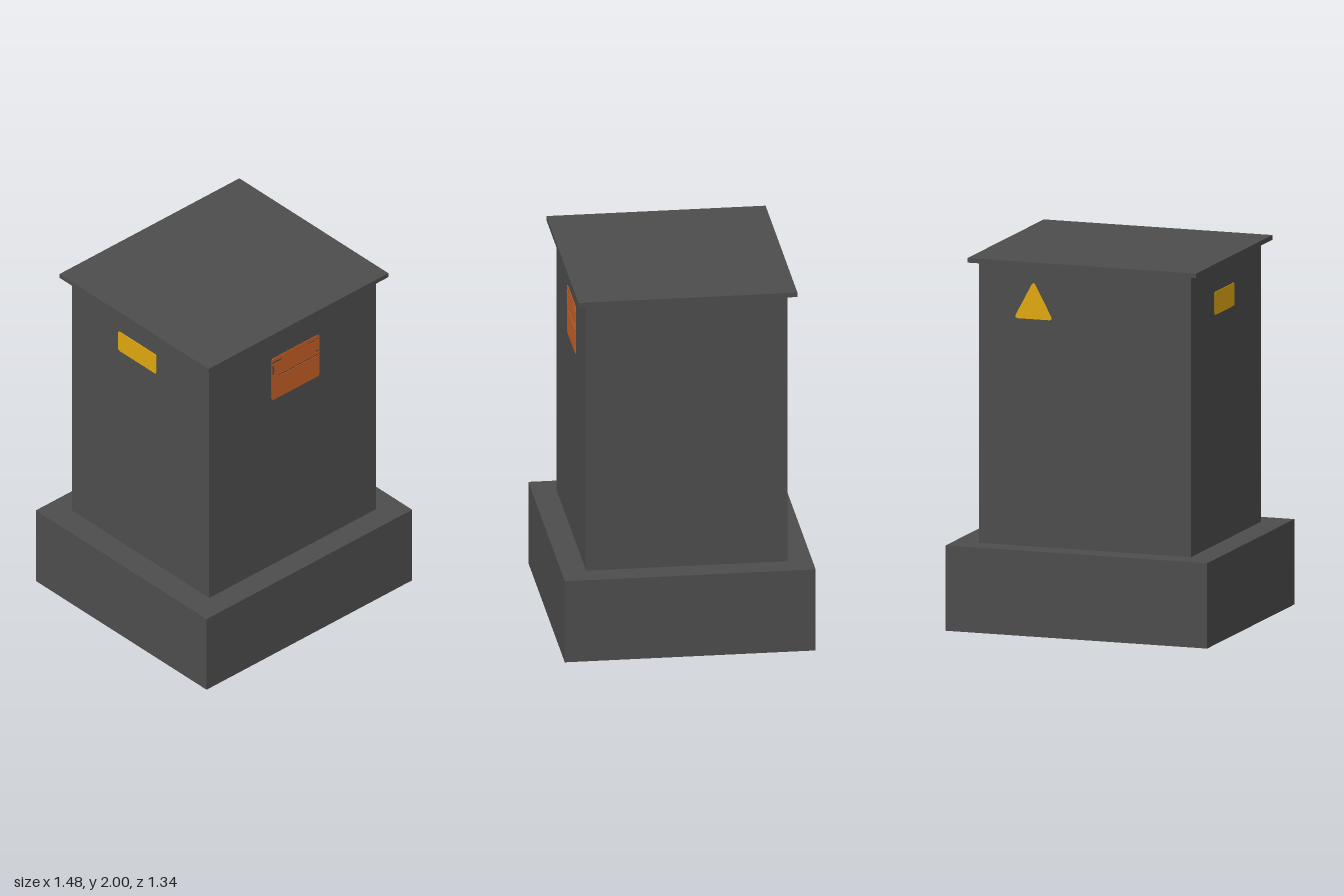
import * as THREE from 'three';

const FACES = { right: 0, left: 1, top: 2, bottom: 3, front: 4, back: 5 };

// Box with the named faces left out
function openBox(w, h, d, without) {
  const geometry = new THREE.BoxGeometry(w, h, d);
  const skip = without.map((name) => FACES[name]);
  const index = Array.from(geometry.index.array);
  geometry.setIndex(index.filter((_, i) => !skip.includes(Math.floor(i / 6))));
  geometry.clearGroups();
  return geometry;
}

// Polygon outline with softened corners
function roundedOutline(corners, radius) {
  const pts = corners.map(([x, y]) => new THREE.Vector2(x, y));
  const shape = new THREE.Shape();
  pts.forEach((p, i) => {
    const toward = (q) => p.clone().add(q.clone().sub(p).setLength(radius));
    const a = toward(pts[(i + pts.length - 1) % pts.length]);
    const b = toward(pts[(i + 1) % pts.length]);
    if (i === 0) shape.moveTo(a.x, a.y);
    else shape.lineTo(a.x, a.y);
    shape.quadraticCurveTo(p.x, p.y, b.x, b.y);
  });
  shape.closePath();
  return shape;
}

const rect = (x0, y0, x1, y1) => [[x0, y0], [x1, y0], [x1, y1], [x0, y1]];

export function createModel() {
  const casing = new THREE.MeshStandardMaterial({ color: 0x4d4d4d, side: THREE.DoubleSide });
  const orange = new THREE.MeshStandardMaterial({ color: 0xc65f26 });
  const yellow = new THREE.MeshStandardMaterial({ color: 0xe0a810 });
  casing.name = 'dark grey casing';
  orange.name = 'orange label';
  yellow.name = 'warning yellow';

  const model = new THREE.Group();
  model.name = 'cabinet';
  const add = (name, geometry, material, x = 0, y = 0, z = 0) => {
    const mesh = new THREE.Mesh(geometry, material);
    mesh.name = name;
    mesh.position.set(x, y, z);
    model.add(mesh);
    return mesh;
  };

  const baseW = 1.475, baseD = 1.34, baseH = 0.46;
  const bodyW = 1.195, bodyD = 1.075, lidY = 1.975;

  // Hollow plinth: thin walls and a ledge around the body opening
  add('plinthWalls', openBox(baseW, baseH, baseD, ['top', 'bottom']), casing, 0, baseH / 2);
  const ledge = new THREE.Shape(rect(-baseW / 2, -baseD / 2, baseW / 2, baseD / 2)
    .map(([x, y]) => new THREE.Vector2(x, y)));
  ledge.holes.push(new THREE.Path(rect(-bodyW / 2, -bodyD / 2, bodyW / 2, bodyD / 2)
    .map(([x, y]) => new THREE.Vector2(x, y))));
  add('plinthLedge', new THREE.ShapeGeometry(ledge).rotateX(-Math.PI / 2), casing, 0, baseH);

  // Hollow body and overhanging lid
  add('bodyWalls', openBox(bodyW, lidY - baseH, bodyD, ['top', 'bottom']), casing, 0, (lidY + baseH) / 2);
  add('lid', new THREE.BoxGeometry(1.29, 2 - lidY, 1.17), casing, 0, (2 + lidY) / 2);

  const plate = (shape) => new THREE.ExtrudeGeometry(shape, { depth: 0.003, bevelEnabled: false, curveSegments: 6 });

  // Orange front label with narrow cut-outs
  const label = roundedOutline(rect(-0.15, 1.53, 0.19, 1.8), 0.015);
  [
    [-0.1, 1.668, 0.185, 1.677],
    [-0.145, 1.762, -0.08, 1.776],
    [-0.145, 1.69, -0.128, 1.75],
    [0.1, 1.768, 0.185, 1.777],
    [0.165, 1.69, 0.185, 1.705],
  ].forEach((r) => label.holes.push(roundedOutline(rect(...r), 0.003)));
  add('frontLabel', plate(label), orange, 0, 0, bodyD / 2);

  // Yellow triangle on the back wall
  const triangle = roundedOutline([[-0.4, 1.685], [-0.18, 1.685], [-0.29, 1.89]], 0.025);
  add('backWarningTriangle', plate(triangle), yellow, 0, 0, -bodyD / 2).rotation.y = Math.PI;

  // Yellow plate on the -x wall
  const sign = roundedOutline(rect(-0.175, 1.7, 0.125, 1.825), 0.015);
  add('sideWarningPlate', plate(sign), yellow, -bodyW / 2).rotation.y = -Math.PI / 2;

  return model;
}
